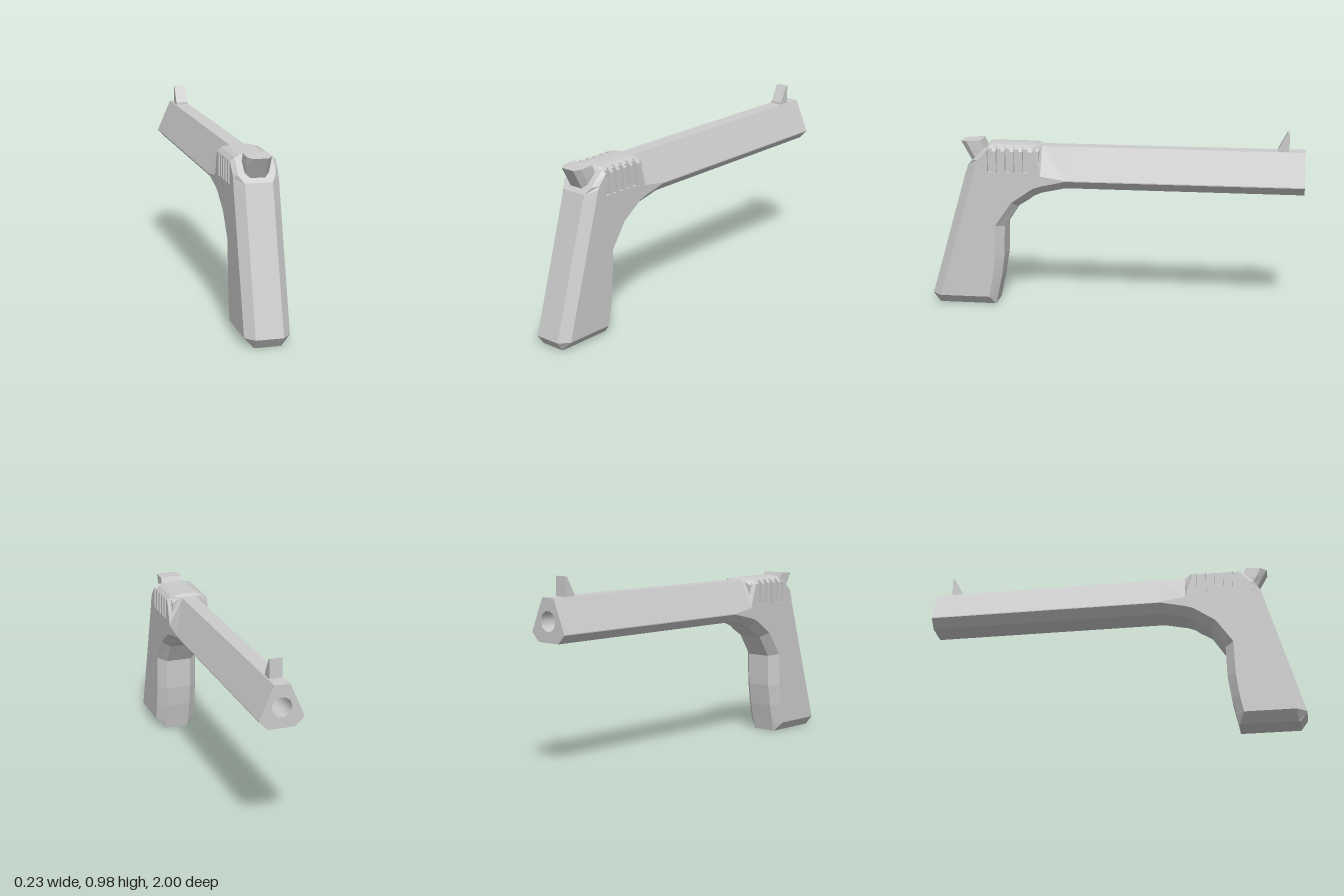
import * as THREE from 'three';

const material = new THREE.MeshStandardMaterial({ color: 0xcccccc, flatShading: true });
const boreMaterial = new THREE.MeshStandardMaterial({ color: 0xcccccc, side: THREE.DoubleSide });

// Skins a row of cross-sections; each lists its +x half and is mirrored to -x.
function loft(sections, capEnd = true) {
  const rings = sections.map((half) => [
    ...half,
    ...half.map(([x, y, z]) => [-x, y, z]).reverse(),
  ]);
  const n = rings[0].length;
  const last = (rings.length - 1) * n;
  const index = [];
  for (let i = 0; i < rings.length - 1; i++) {
    for (let j = 0; j < n; j++) {
      const a = i * n + j;
      const b = i * n + ((j + 1) % n);
      index.push(a, b, b + n, a, b + n, a + n);
    }
  }
  for (let j = 1; j < n - 1; j++) {
    index.push(0, j + 1, j);
    if (capEnd) index.push(last, last + j, last + j + 1);
  }
  const geometry = new THREE.BufferGeometry();
  geometry.setAttribute('position', new THREE.Float32BufferAttribute(rings.flat(2), 3));
  geometry.setIndex(index);
  const flat = geometry.toNonIndexed();
  flat.computeVertexNormals();
  return flat;
}

const shapeOf = (points) => new THREE.Shape(points.map(([x, y]) => new THREE.Vector2(x, y)));

export function createModel() {
  const model = new THREE.Group();
  const add = (name, geometry, mat = material) => {
    const mesh = new THREE.Mesh(geometry, mat);
    mesh.name = name;
    model.add(mesh);
    return mesh;
  };

  // Grip: straight raked back, curved inner edge, chamfered corners
  const gripSection = (backY, [fz, fy], [oz, oy]) => {
    const rake = (backY - 0.05) * 0.29;
    return [[0.07, backY, 1 - rake], [0.115, backY, 0.95 - rake], [0.115, fy, fz], [0.07, oy, oz]];
  };
  add('grip', loft([
    [[0.065, 0, 0.965], [0.07, 0, 0.955], [0.07, 0, 0.655], [0.065, 0, 0.65]],
    gripSection(0.05, [0.68, 0.05], [0.64, 0.05]),
    gripSection(0.15, [0.66, 0.15], [0.618, 0.15]),
    gripSection(0.27, [0.645, 0.27], [0.6, 0.27]),
    gripSection(0.45, [0.64, 0.45], [0.595, 0.44]),
    gripSection(0.745, [0.55, 0.58], [0.52, 0.555]),
    [[0.07, 0.745, 0.456], [0.115, 0.745, 0.456], [0.115, 0.645, 0.456], [0.07, 0.595, 0.456]],
  ]));

  // Rear shoulder above the grip
  add('rearShoulder', loft([
    [[0.07, 0.745, 0.797], [0.115, 0.745, 0.75], [0.115, 0.745, 0.675]],
    [[0.07, 0.77, 0.79], [0.115, 0.79, 0.737], [0.115, 0.79, 0.675]],
    [[0.095, 0.805, 0.76], [0.115, 0.81, 0.725], [0.115, 0.805, 0.675]],
    [[0.095, 0.88, 0.685], [0.115, 0.86, 0.682], [0.115, 0.86, 0.675]],
  ]));

  // Arched core that forms the floor of the grooves
  const coreSection = (z, drop) => [
    [0.03, 0.892 - drop, z], [0.065, 0.887 - drop, z], [0.095, 0.87 - drop, z], [0.095, 0.72, z],
  ];
  add('receiverCore', loft([
    coreSection(0.69, 0.017), coreSection(0.67, 0), coreSection(0.43, 0), coreSection(0.4, 0.016),
  ]));

  // Ribs standing between the five side grooves
  const ribShape = shapeOf([
    [-0.115, 0.74], [0.115, 0.74], [0.115, 0.86], [0.095, 0.88], [-0.095, 0.88], [-0.115, 0.86],
  ]);
  for (let i = 0; i < 4; i++) {
    const rib = add('receiverRib', new THREE.ExtrudeGeometry(ribShape, { depth: 0.021, bevelEnabled: false }));
    rib.position.z = 0.627 - i * 0.0477;
  }

  // Barrel: hexagonal tube widening into the receiver
  const barrelSection = (z, [topX, topY], sideY, lowY, bottomY) => [
    [topX, topY, z], [0.115, sideY, z], [0.115, lowY, z], [0.07, bottomY, z],
  ];
  add('barrel', loft([
    barrelSection(0.456, [0.095, 0.88], 0.86, 0.645, 0.595),
    barrelSection(0.43, [0.095, 0.88], 0.86, 0.662, 0.615),
    barrelSection(0.39, [0.04, 0.88], 0.73, 0.675, 0.632),
    barrelSection(0.26, [0.04, 0.88], 0.71, 0.705, 0.66),
    barrelSection(-1, [0.04, 0.88], 0.71, 0.705, 0.66),
  ], false));

  // Muzzle face with its bore
  const boreY = 0.765, boreR = 0.052, boreDepth = 0.4;
  const face = shapeOf([
    [-0.07, 0.66], [0.07, 0.66], [0.115, 0.705], [0.115, 0.71],
    [0.04, 0.88], [-0.04, 0.88], [-0.115, 0.71], [-0.115, 0.705],
  ]);
  face.holes.push(new THREE.Path().absarc(0, boreY, boreR, 0, Math.PI * 2, true));
  const muzzle = add('muzzleFace', new THREE.ShapeGeometry(face, 5), boreMaterial);
  muzzle.position.z = -1;
  const bore = add('bore', new THREE.CylinderGeometry(boreR, boreR, boreDepth, 10, 1, true), boreMaterial);
  bore.rotation.set(Math.PI / 2, Math.PI / 2, 0);
  bore.position.set(0, boreY, -1 + boreDepth / 2);
  const boreEnd = add('boreEnd', new THREE.CircleGeometry(boreR, 10), boreMaterial);
  boreEnd.position.set(0, boreY, -1 + boreDepth);

  // Wedge-shaped front sight
  add('frontSight', loft([
    [[0.033, 0.87, -0.855], [0.033, 0.87, -0.915]],
    [[0.033, 0.892, -0.857], [0.033, 0.892, -0.915]],
    [[0.033, 0.98, -0.905], [0.033, 0.98, -0.915]],
  ]));

  // Hammer: flared block with a chamfered back
  add('hammer', loft([
    [[0.038, 0.79, 0.77], [0.06, 0.81, 0.75], [0.06, 0.81, 0.68]],
    [[0.038, 0.85, 0.803], [0.062, 0.85, 0.772], [0.062, 0.86, 0.7]],
    [[0.038, 0.897, 0.83], [0.062, 0.9, 0.797], [0.062, 0.905, 0.72]],
  ]));

  return model;
}
